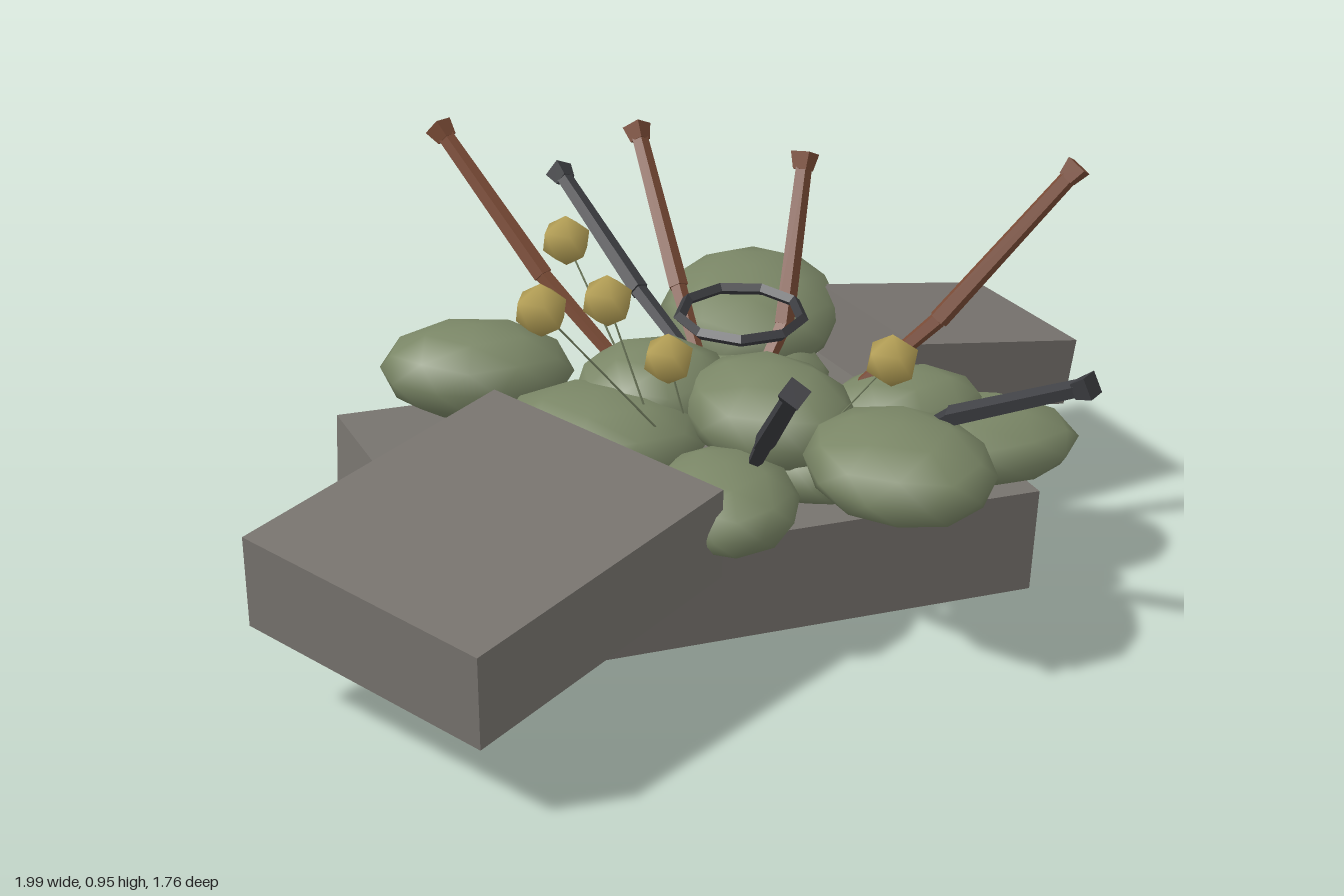
import * as THREE from 'three';

const V = (a) => new THREE.Vector3(...a);

export function createModel() {
  const root = new THREE.Group();
  root.name = 'rubblePatch';

  const mat = (name, color, flatShading = false) => {
    const m = new THREE.MeshStandardMaterial({ color, flatShading });
    m.name = name;
    return m;
  };
  const concrete = mat('concrete grey', 0x78746f, true);
  const moss = mat('moss green', 0x7a8666);
  const rust = mat('rust brown', 0x7a4b36, true);
  const iron = mat('dark iron', 0x3b3c40, true);
  const gold = mat('seed gold', 0xb5a056);

  const add = (parent, name, geo, material) => {
    const mesh = new THREE.Mesh(geo, material);
    mesh.name = name;
    parent.add(mesh);
    return mesh;
  };
  const group = (name) => {
    const g = new THREE.Group();
    g.name = name;
    root.add(g);
    return g;
  };

  // Concrete slabs: a top corner, two top edges, and a thickness
  const slab = (name, corner, edgeU, edgeV, thick) => {
    const u = V(edgeU), v = V(edgeV);
    const n = new THREE.Vector3().crossVectors(v, u).normalize();
    const centre = V(corner).addScaledVector(u, 0.5).addScaledVector(v, 0.5).addScaledVector(n, -thick / 2);
    const geo = new THREE.BoxGeometry(1, 1, 1);
    geo.applyMatrix4(new THREE.Matrix4().makeBasis(u, n.multiplyScalar(thick), v).setPosition(centre));
    add(root, name, geo, concrete);
  };
  slab('baseSlab', [-0.55, 0.3, 0.42], [-0.185, 0.014, -0.83], [1.32, -0.055, -0.255], 0.245);
  slab('leftSlab', [-0.585, 0.382, 0.88], [-0.405, 0.04, -0.51], [0.585, 0.05, -0.5], 0.215);
  slab('rightSlab', [0.56, 0.49, -0.14], [-0.11, -0.012, -0.425], [0.44, -0.085, -0.135], 0.16);

  // Vertex-up, smooth icosahedron, shared by moss mounds and seed heads
  const ball = (detail) => {
    const geo = new THREE.IcosahedronGeometry(1, detail).rotateX(-1.0172);
    return geo.setAttribute('normal', geo.attributes.position.clone());
  };

  // Moss mounds: centre, radii, yaw
  const mounds = group('mossMounds');
  const moundGeo = ball(1);
  [
    [[0.28, 0.42, -0.58], [0.22, 0.115, 0.31], -0.25],
    [[-0.41, 0.41, -0.39], [0.225, 0.11, 0.165], -0.25],
    [[-0.18, 0.36, -0.08], [0.24, 0.11, 0.2], -0.4],
    [[-0.03, 0.4, -0.2], [0.19, 0.12, 0.18], 0],
    [[0.19, 0.42, 0], [0.18, 0.115, 0.23], 0.35],
    [[0.04, 0.33, 0.23], [0.16, 0.09, 0.21], -0.1],
    [[0.385, 0.44, 0.36], [0.195, 0.1, 0.235], 0.25],
    [[0.52, 0.375, -0.055], [0.185, 0.09, 0.14], 0],
    [[0.645, 0.31, 0.0], [0.26, 0.09, 0.185], -0.15],
    [[0.22, 0.34, -0.36], [0.2, 0.1, 0.2], 0],
    [[0.28, 0.33, 0.08], [0.16, 0.08, 0.16], 0],
  ].forEach(([p, s, yaw]) => {
    const m = add(mounds, 'mossMound', moundGeo, moss);
    m.position.set(...p);
    m.scale.set(...s);
    m.rotation.y = yaw;
  });

  // Cylinder running between two points
  const rod = (parent, name, from, to, r0, r1, sides, material) => {
    const a = V(from), d = V(to).sub(a);
    const geo = new THREE.CylinderGeometry(r1, r0, d.length(), sides);
    const m = add(parent, name, geo, material);
    m.position.copy(a).addScaledVector(d, 0.5);
    m.quaternion.setFromUnitVectors(new THREE.Vector3(0, 1, 0), d.normalize());
    return m;
  };

  // Bent bars: base, bend, tip, with a flared four-sided cap at the tip
  const bar = (base, bend, tip, material) => {
    const g = group('bentBar');
    rod(g, 'lowerBar', base, bend, 0.016, 0.02, 5, material);
    const upper = rod(g, 'upperBar', bend, tip, 0.024, 0.02, 5, material);
    const cap = add(g, 'barCap', new THREE.CylinderGeometry(0.034, 0.024, 0.04, 4), material);
    cap.position.set(...tip);
    cap.quaternion.copy(upper.quaternion);
  };
  bar([-0.08, 0.4, -0.37], [-0.23, 0.57, -0.53], [-0.425, 0.855, -0.775], rust);
  bar([0.1, 0.42, -0.35], [0.08, 0.54, -0.47], [0.04, 0.83, -0.745], rust);
  bar([0.18, 0.4, -0.14], [0.28, 0.52, -0.25], [0.36, 0.855, -0.4], rust);
  bar([0.415, 0.42, -0.09], [0.59, 0.58, -0.065], [0.88, 0.915, -0.045], rust);
  bar([0.11, 0.37, 0.17], [0.1, 0.5, 0.32], [0.087, 0.74, 0.61], iron);
  bar([0.42, 0.42, 0.22], [0.51, 0.52, 0.31], [0.72, 0.665, 0.53], iron);
  bar([0.1, 0.4, -0.25], [-0.01, 0.53, -0.49], [-0.13, 0.7, -0.85], iron);

  // Loose iron ring
  const ring = add(root, 'ironRing', new THREE.TorusGeometry(0.138, 0.014, 4, 9).rotateX(Math.PI / 2), iron);
  ring.position.set(0.15, 0.61, -0.12);
  ring.rotation.set(0.05, 0.3, 0);

  // Seed heads on hair-thin stalks: head, stalk foot
  const seedGeo = ball(0);
  [
    [[-0.195, 0.705, -0.4], [-0.08, 0.42, -0.28]],
    [[-0.165, 0.7, -0.04], [-0.08, 0.42, -0.02]],
    [[-0.035, 0.56, -0.02], [0, 0.42, -0.03]],
    [[-0.335, 0.76, 0.125], [-0.07, 0.42, 0.04]],
    [[0.39, 0.638, 0.26], [0.29, 0.44, 0.14]],
  ].forEach(([head, foot]) => {
    const g = group('seedStalk');
    rod(g, 'stalk', foot, head, 0.0025, 0.002, 4, moss);
    const s = add(g, 'seedHead', seedGeo, gold);
    s.position.set(...head);
    s.scale.setScalar(0.06);
  });

  return root;
}
